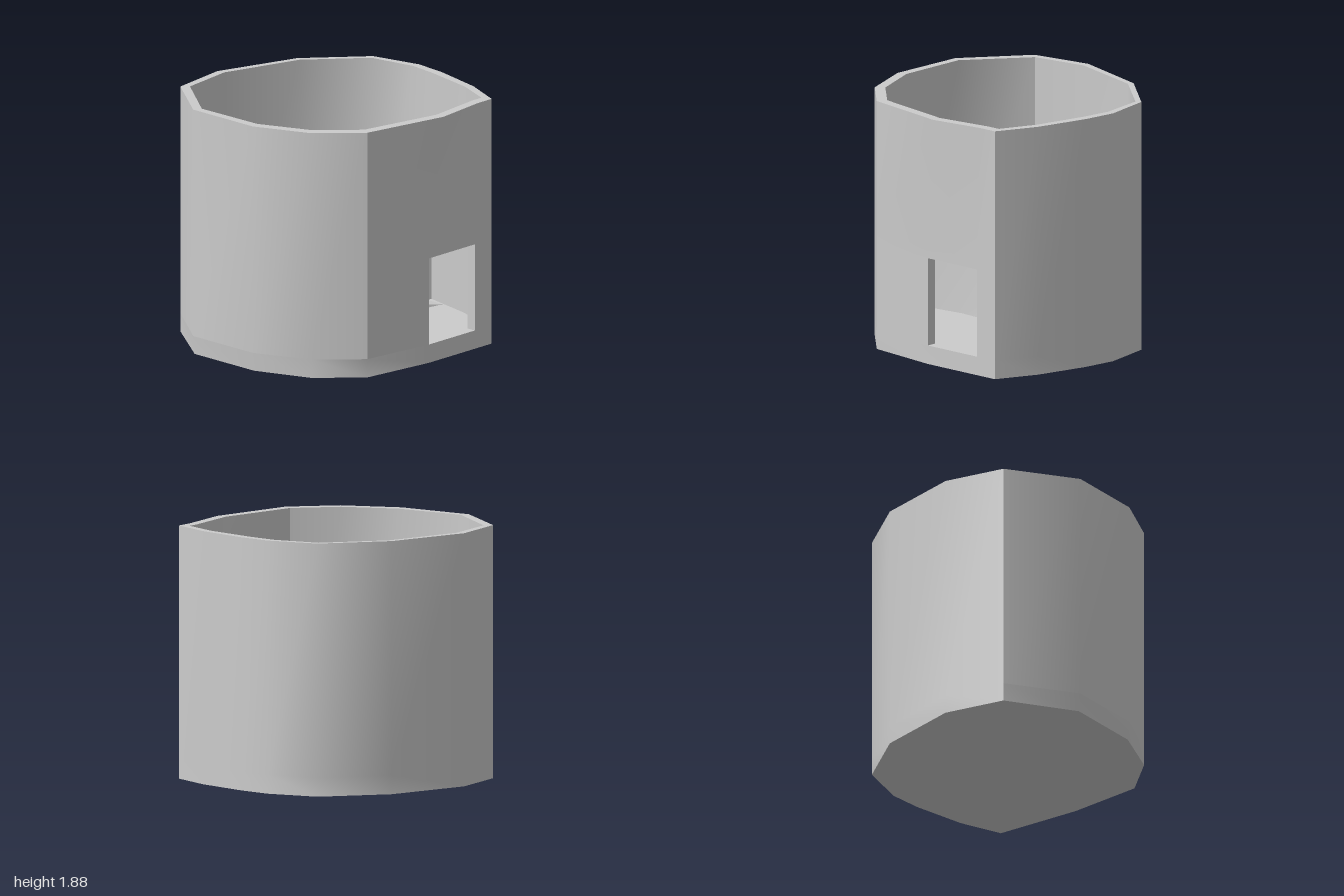
import * as THREE from 'three';
import { toCreasedNormals } from 'three/addons/utils/BufferGeometryUtils.js';

const TOP = 1.875, FLOOR = 0.14, DECK = 0.7, SILL = 0.14, LINTEL = 0.8, BEND = 0.88;
const material = new THREE.MeshStandardMaterial({ color: 0xcccccc });

// Footprint of the curved wall as [x, z], from the front right corner round to the back right corner
const OUTER = [[0.87, 0.53], [0.58, 0.82], [0.15, 0.99], [-0.46, 0.98], [-0.93, 0.62], [-1, 0.15],
  [-0.8, -0.49], [-0.43, -0.91], [-0.04, -0.99], [0.22, -0.96], [0.63, -0.86], [0.945, -0.72]];
const INNER = [[0.8, 0.49], [0.53, 0.76], [0.13, 0.92], [-0.43, 0.92], [-0.88, 0.57], [-0.94, 0.14],
  [-0.76, -0.47], [-0.41, -0.87], [-0.05, -0.93], [0.18, -0.9], [0.59, -0.81], [0.87, -0.69]];

// Footprint of the straight wall with the window, from back to front; it swells out at the rim
const SIDE_OUT = [[0.945, -0.72], [0.945, -0.54], [0.945, -0.05], [0.87, 0.53]];
const SIDE_IN = [[0.87, -0.69], [0.87, -0.54], [0.87, -0.05], [0.8, 0.49]];
const RIM_OUT = [[0.945, -0.72], [0.945, -0.57], [1, -0.15], [0.87, 0.53]];
const RIM_IN = [[0.87, -0.69], [0.87, -0.59], [0.925, -0.15], [0.8, 0.49]];

const at = (path, y) => path.map(([x, z]) => [x, y, z]);

// Surface through rows of equally many points
function sheet(rows) {
  const pos = [];
  for (let j = 0; j < rows.length - 1; j++) {
    for (let i = 0; i < rows[j].length - 1; i++) {
      const a = rows[j][i], b = rows[j][i + 1], c = rows[j + 1][i + 1], d = rows[j + 1][i];
      pos.push(...b, ...a, ...d, ...b, ...d, ...c);
    }
  }
  const geometry = new THREE.BufferGeometry();
  geometry.setAttribute('position', new THREE.Float32BufferAttribute(pos, 3));
  return geometry;
}

// Upright prism over a footprint
function prism(path, y0, y1) {
  const shape = new THREE.Shape(path.map(([x, z]) => new THREE.Vector2(x, -z)));
  const geometry = new THREE.ExtrudeGeometry(shape, { depth: y1 - y0, bevelEnabled: false });
  return geometry.rotateX(-Math.PI / 2).translate(0, y0, 0);
}

export function createModel() {
  const model = new THREE.Group();
  const add = (name, geometry, crease = 40) => {
    const mesh = new THREE.Mesh(toCreasedNormals(geometry, THREE.MathUtils.degToRad(crease)), material);
    mesh.name = name;
    model.add(mesh);
  };

  // Base slab, its front drawn in slightly at the foot
  const base = prism([...OUTER, [0.945, -0.05]], 0, FLOOR);
  const p = base.attributes.position;
  for (let i = 0; i < p.count; i++) {
    if (p.getY(i) < 0.01 && p.getZ(i) > 0.95) p.setZ(i, p.getZ(i) - 0.015);
  }
  add('base', base);

  // Curved wall: outside, rim, inside
  add('curvedWall', sheet([at(OUTER, FLOOR), at(OUTER, TOP), at(INNER, TOP), at(INNER, FLOOR)]));

  // Wall above the window, closed underneath
  add('windowWall', sheet([
    at(SIDE_IN, LINTEL), at(SIDE_OUT, LINTEL), at(SIDE_OUT, BEND), at(RIM_OUT, TOP),
    at(RIM_IN, TOP), at(SIDE_IN, BEND), at(SIDE_IN, LINTEL),
  ]), 20);

  // Wall on each side of the window, with its jamb
  const [D, C, B, A] = SIDE_OUT, [d, c, b, a] = SIDE_IN;
  add('backJamb', sheet([at([D, C, c, d], SILL), at([D, C, c, d], LINTEL)]));
  add('frontJamb', sheet([at([a, b, B, A], SILL), at([a, b, B, A], LINTEL)]));

  // Raised deck on the right-hand side of the interior
  add('deck', prism([[-0.43, 0.92], [-0.88, 0.57], [-0.94, 0.14], [-0.76, -0.47], [-0.41, -0.87],
    [-0.05, -0.93], [0.17, -0.9], [0.1, -0.75], [-0.13, -0.1], [-0.2, 0.42]], FLOOR, DECK));

  // Ramp winding from the deck down to the floor: z, left x, right x, left y, right y
  const stations = [
    [0.92, -0.43, 0.11, 0.7, 0.7], [0.42, -0.2, 0.05, 0.69, 0.6], [-0.07, -0.13, 0.09, 0.39, 0.39],
    [-0.52, 0.02, 0.25, 0.21, 0.19], [-0.86, 0.15, 0.32, 0.141, 0.141],
  ];
  add('ramp', sheet([
    stations.map(([z, x0, , y0]) => [x0, y0, z]),
    stations.map(([z, , x1, , y1]) => [x1, y1, z]),
    stations.map(([z, , x1]) => [x1 + 0.02, FLOOR, z]),
  ]), 45);

  return model;
}
